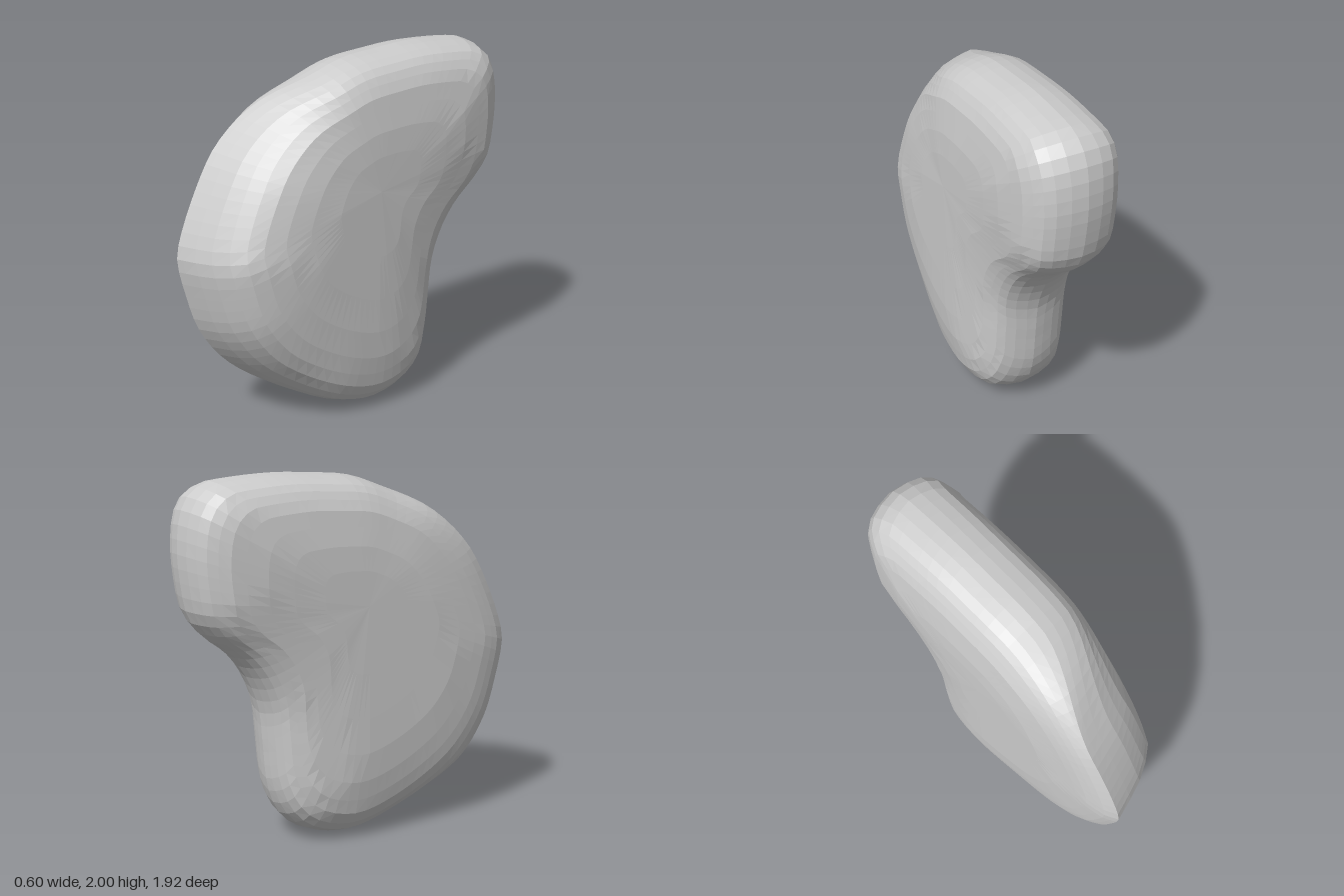
import * as THREE from 'three';

// Side outline as (z, y): front, over the top, down the back, under the base
const OUTLINE = [
  [0.96, 1.0], [0.94, 1.1], [0.84, 1.34], [0.71, 1.56], [0.49, 1.78], [0.24, 1.9], [0.05, 1.965],
  [-0.21, 1.99], [-0.42, 2.0], [-0.66, 1.987], [-0.79, 1.97], [-0.88, 1.92], [-0.935, 1.83],
  [-0.96, 1.65], [-0.945, 1.45], [-0.91, 1.29], [-0.83, 1.18], [-0.68, 1.06], [-0.58, 0.93],
  [-0.51, 0.76], [-0.485, 0.54], [-0.46, 0.31], [-0.4, 0.16], [-0.31, 0.07], [-0.19, 0.02],
  [-0.03, 0], [0.16, 0.04], [0.43, 0.16], [0.67, 0.33], [0.84, 0.56], [0.915, 0.78],
];
// Half-thickness against distance from the rim
const ROUND = [[0, 0], [0.01, 0.08], [0.03, 0.15], [0.06, 0.2], [0.16, 0.26], [0.36, 0.293], [0.5, 0.3]];
// The front rim is skewed: blunt on the right side, long slope on the left
const FRONT_LEFT = [[0, -0.2], [0.05, 0], [0.1, 0.11], [0.16, 0.2], [0.24, 0.245], [0.36, 0.28], [0.55, 0.3]];
const FRONT_RIGHT = [[0, 0.2], [0.06, 0.24], [0.16, 0.27], [0.4, 0.3]];

function sample(profile, d) {
  for (let i = 1; i < profile.length; i++) {
    const [d0, h0] = profile[i - 1], [d1, h1] = profile[i];
    if (d <= d1) return h0 + (h1 - h0) * (d - d0) / (d1 - d0);
  }
  return profile[profile.length - 1][1];
}

// Shortest distance from p to the closed rim
function rimDistance(p, rim) {
  let best = Infinity;
  const ab = new THREE.Vector3(), ap = new THREE.Vector3();
  rim.forEach((a, i) => {
    ab.subVectors(rim[(i + 1) % rim.length], a);
    ap.subVectors(p, a);
    const t = THREE.MathUtils.clamp(ap.dot(ab) / ab.lengthSq(), 0, 1);
    best = Math.min(best, ap.addScaledVector(ab, -t).length());
  });
  return best;
}

// One bulging side: rings running from the rim to the middle
function sideSurface(rim, sign) {
  const centre = new THREE.Vector3(0, 1.3, 0);
  const steps = [0, 0.012, 0.035, 0.07, 0.12, 0.18, 0.26, 0.38, 0.53, 0.72, 1];
  const n = rim.length, positions = [], index = [];
  steps.forEach((t, i) => rim.forEach((edge, j) => {
    const p = edge.clone().lerp(centre, t);
    const d = i === 0 ? 0 : rimDistance(p, rim);
    const w = THREE.MathUtils.smoothstep(edge.z, 0.15, 0.75);
    const front = sample(sign > 0 ? FRONT_LEFT : FRONT_RIGHT, d);
    positions.push(sign * THREE.MathUtils.lerp(sample(ROUND, d), front, w), p.y, p.z);
    if (i === steps.length - 1) return;
    const k = (j + 1) % n;
    const a = i * n + j, b = i * n + k, c = b + n, e = a + n;
    if (sign > 0) index.push(a, e, c, a, c, b);
    else index.push(a, c, e, a, b, c);
  }));
  const geometry = new THREE.BufferGeometry();
  geometry.setAttribute('position', new THREE.Float32BufferAttribute(positions, 3));
  geometry.setIndex(index);
  geometry.computeVertexNormals();
  return geometry;
}

export function createModel() {
  const group = new THREE.Group();
  group.name = 'curvedPebble';
  const material = new THREE.MeshStandardMaterial({ color: 0xcccccc, flatShading: true });
  const curve = new THREE.CatmullRomCurve3(
    OUTLINE.map(([z, y]) => new THREE.Vector3(0, y, z)), true, 'centripetal');
  const rim = curve.getSpacedPoints(84).slice(0, -1);

  // Left and right halves meet along the rim
  for (const [name, sign] of [['leftHalf', 1], ['rightHalf', -1]]) {
    const half = new THREE.Mesh(sideSurface(rim, sign), material);
    half.name = name;
    group.add(half);
  }
  return group;
}
